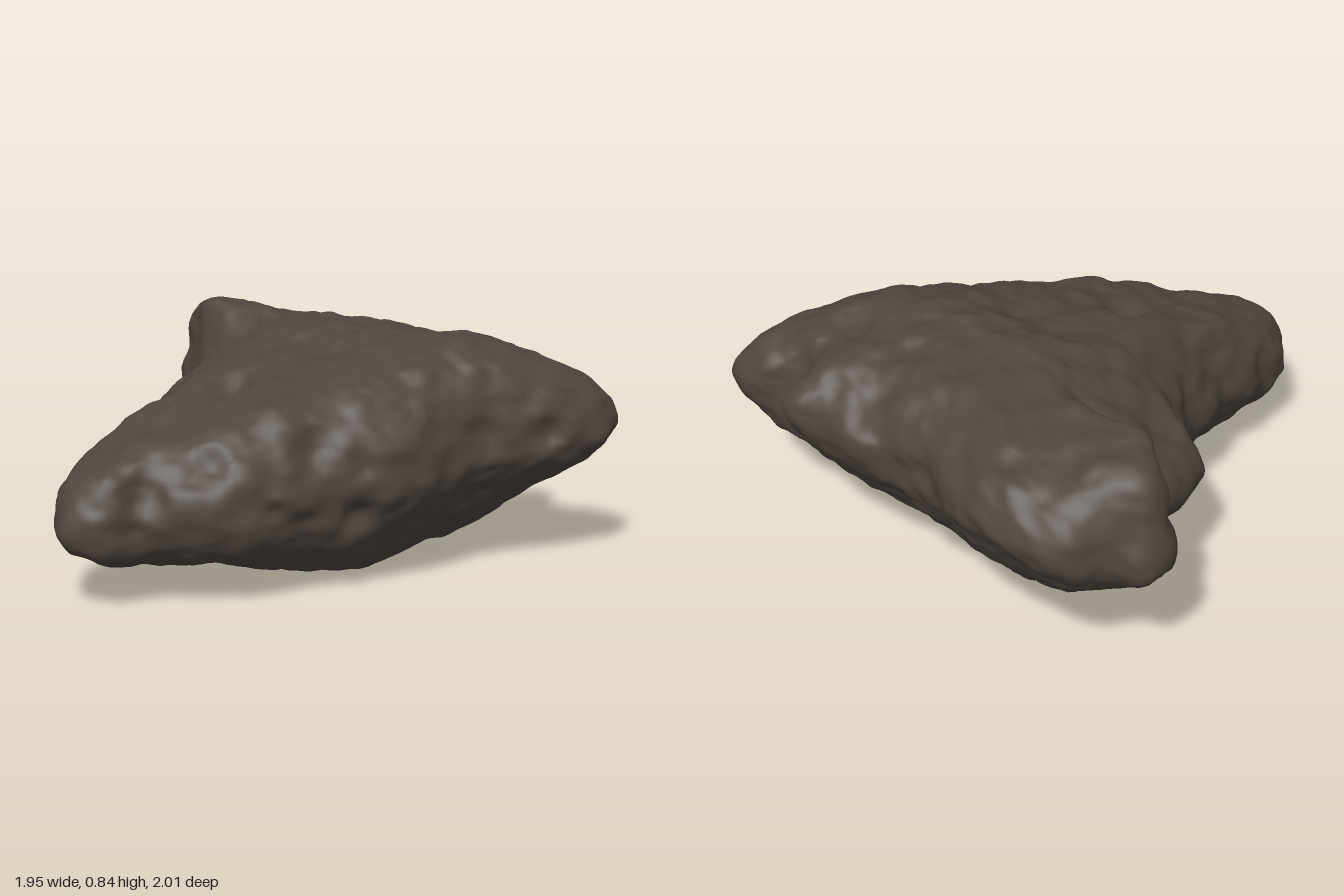
import * as THREE from 'three';
import { mergeVertices } from 'three/addons/utils/BufferGeometryUtils.js';

// Plan outline (x, z), from the nose round by the left wing, back and right wing
const OUTLINE = [
  [-0.07, 0.99], [0.02, 0.95], [0.1, 0.82], [0.22, 0.75], [0.33, 0.64], [0.4, 0.5], [0.47, 0.35], [0.55, 0.2],
  [0.63, 0.08], [0.68, -0.05], [0.68, -0.15], [0.73, -0.28], [0.8, -0.4], [0.9, -0.55], [0.95, -0.68],
  [0.98, -0.78], [0.95, -0.87], [0.85, -0.91], [0.75, -0.9], [0.66, -0.84], [0.59, -0.84], [0.55, -0.9],
  [0.52, -0.98], [0.45, -1], [0.36, -0.95], [0.22, -0.95], [0.08, -0.91], [-0.1, -0.91], [-0.25, -0.95],
  [-0.48, -1], [-0.65, -0.97], [-0.8, -0.91], [-0.88, -0.78], [-0.955, -0.71], [-0.955, -0.6], [-0.85, -0.51],
  [-0.74, -0.4], [-0.69, -0.22], [-0.62, -0.06], [-0.5, 0], [-0.41, 0.1], [-0.37, 0.3], [-0.32, 0.43],
  [-0.33, 0.6], [-0.3, 0.68], [-0.31, 0.81], [-0.24, 0.89], [-0.15, 0.97],
];
// Height profiles as [position, y]
const TOP_Z = [[-1, 0.77], [-0.9, 0.8], [-0.8, 0.81], [-0.6, 0.82], [-0.4, 0.84], [-0.25, 0.81], [-0.1, 0.77],
  [0.1, 0.73], [0.3, 0.68], [0.5, 0.62], [0.6, 0.58], [0.8, 0.53], [0.9, 0.52], [1, 0.5]];
const BOTTOM_Z = [[-1, 0.47], [-0.9, 0.37], [-0.8, 0.27], [-0.7, 0.19], [-0.5, 0.08], [-0.3, 0.02], [-0.1, 0],
  [0.1, 0.01], [0.3, 0.06], [0.5, 0.11], [0.7, 0.13], [1, 0.13]];
const BOTTOM_X = [[-1, 0.4], [-0.85, 0.35], [-0.7, 0.3], [-0.5, 0.22], [-0.3, 0.17], [-0.15, 0.08], [0, 0.02],
  [0.2, 0], [0.4, 0.01], [0.55, 0.12], [0.7, 0.25], [0.9, 0.33], [1, 0.38]];
const RIM_Z = [[-1, 0.6], [-0.5, 0.51], [0, 0.42], [0.5, 0.35], [1, 0.28]];

// Craters as [x, y, z, radius, depth]
const CRATERS = [
  [0.23, 0.83, -0.65, 0.08, 0.024], [0.52, 0.78, -0.63, 0.11, 0.045], [0, 0.7, 0.23, 0.11, 0.045],
  [-0.48, 0.8, -0.87, 0.08, 0.024], [0.1, 0.84, -0.34, 0.09, 0.028], [-0.15, 0.65, 0.45, 0.08, 0.025],
  [0.42, 0.34, 0.48, 0.05, 0.03], [0.55, 0.3, 0.18, 0.09, 0.035], [0.45, 0.52, 0.3, 0.11, 0.035],
  [0.72, 0.5, -0.3, 0.1, 0.025], [0.88, 0.5, -0.5, 0.08, 0.03], [0.12, 0.4, 0.82, 0.09, 0.03],
  [0.25, 0.5, 0.65, 0.1, 0.035], [-0.5, 0.62, -0.2, 0.13, 0.03], [-0.1, 0.6, -0.92, 0.09, 0.02],
  [0.25, 0.03, 0.1, 0.1, 0.02], [-0.3, 0.2, -0.3, 0.12, 0.02], [0.1, 0.2, -0.65, 0.1, 0.02],
];

function profile(table, t) {
  if (t <= table[0][0]) return table[0][1];
  for (let i = 1; i < table.length; i++) {
    const [a, ya] = table[i - 1], [b, yb] = table[i];
    if (t <= b) return ya + (yb - ya) * (t - a) / (b - a);
  }
  return table[table.length - 1][1];
}

function hash(x, y, z) {
  let h = Math.imul(x, 374761393) ^ Math.imul(y, 668265263) ^ Math.imul(z, 2147483647 - 1274126177);
  h = Math.imul(h ^ (h >>> 13), 1274126177);
  return ((h ^ (h >>> 16)) >>> 0) / 2147483648 - 1;
}

// Smooth value noise in -1..1
function noise(x, y, z) {
  const ix = Math.floor(x), iy = Math.floor(y), iz = Math.floor(z);
  const ease = (t) => t * t * (3 - 2 * t);
  const u = ease(x - ix), v = ease(y - iy), w = ease(z - iz);
  let sum = 0;
  for (let c = 0; c < 8; c++) {
    const a = c & 1, b = (c >> 1) & 1, d = c >> 2;
    sum += hash(ix + a, iy + b, iz + d) * (a ? u : 1 - u) * (b ? v : 1 - v) * (d ? w : 1 - w);
  }
  return sum;
}

const { smoothstep, lerp } = THREE.MathUtils;

const smoothMax = (a, b, k) => {
  const h = Math.max(k - Math.abs(a - b), 0) / k;
  return Math.max(a, b) + h * h * k * 0.25;
};

// Upper surface: a shelf before the right wing, a dip at the back and a saddle to the left wing
function topHeight(x, z) {
  const shelf = smoothstep(-x, 0.15, 0.65) * smoothstep(z, -0.52, -0.4);
  const dip = smoothstep(-z, 0.65, 0.95) * smoothstep(x, -0.45, -0.1) * (1 - smoothstep(x, 0.2, 0.42));
  const saddle = smoothstep(x, 0.5, 0.66) * smoothstep(-z, 0.55, 0.85);
  return profile(TOP_Z, z) - 0.15 * shelf - 0.09 * dip - 0.05 * saddle
    - 0.05 * smoothstep(x, 0.5, 0.95) + 0.02 * smoothstep(-x, 0.5, 0.8);
}

const bottomHeight = (x, z) => smoothMax(profile(BOTTOM_Z, z), profile(BOTTOM_X, x), 0.08);

// Smooth body: rings from the top centre out to the outline and back under
function bodyGeometry(segments, rings) {
  const cx = 0.1, cz = -0.3;
  const curve = new THREE.CatmullRomCurve3(OUTLINE.map(([x, z]) => new THREE.Vector3(x, 0, z)), true);
  const rim = curve.getSpacedPoints(segments).slice(0, segments);
  // Softened outline for the inner rings, so lobes and notches stay near the edge
  const soft = rim.map((_, j) => {
    const sum = new THREE.Vector3();
    for (let k = -6; k <= 6; k++) sum.add(rim[(j + k + segments) % segments]);
    return sum.divideScalar(13);
  });
  const positions = [], index = [];
  for (let i = 0; i <= rings; i++) {
    const s = Math.sin(Math.PI * i / rings), upper = i <= rings / 2;
    for (let j = 0; j < segments; j++) {
      const r = rim[j], blend = s ** 4;
      const x = cx + (lerp(soft[j].x, r.x, blend) - cx) * s;
      const z = cz + (lerp(soft[j].z, r.z, blend) - cz) * s;
      const edge = profile(RIM_Z, r.z) - 0.06 * r.x * r.x;
      // The nose and right wing tip are blunt; the back, flanks and left wing slope more
      const nose = smoothstep(r.z, 0.4, 0.85);
      const tip = smoothstep(-r.x, 0.75, 0.9) * smoothstep(-r.z, 0.4, 0.5) * smoothstep(r.z, -0.9, -0.7);
      const power = upper ? 6 + 6 * nose + 12 * tip : 6.5 + 2 * nose + 4 * tip;
      const swell = i === rings / 2 ? 0 : Math.sqrt(Math.max(0, 1 - s ** power));
      const goal = upper ? Math.max(topHeight(x, z), edge + 0.03) : Math.min(bottomHeight(x, z), edge - 0.03);
      positions.push(x, edge + (goal - edge) * swell, z);
    }
  }
  for (let i = 0; i < rings; i++) {
    for (let j = 0; j < segments; j++) {
      const k = (j + 1) % segments;
      const a = i * segments + j, b = a + segments, c = (i + 1) * segments + k, d = i * segments + k;
      if (i < rings - 1) index.push(a, b, c);
      if (i > 0) index.push(a, c, d);
    }
  }
  const geometry = new THREE.BufferGeometry();
  geometry.setAttribute('position', new THREE.Float32BufferAttribute(positions, 3));
  geometry.setIndex(index);
  return mergeVertices(geometry, 1e-5);
}

// Lumps and craters pushed along the surface normal
function weather(geometry) {
  geometry.computeVertexNormals();
  const pos = geometry.attributes.position, nor = geometry.attributes.normal;
  const p = new THREE.Vector3(), n = new THREE.Vector3();
  for (let i = 0; i < pos.count; i++) {
    p.fromBufferAttribute(pos, i);
    n.fromBufferAttribute(nor, i);
    let push = 0.012 * noise(p.x * 6 + 9, p.y * 6 + 9, p.z * 6 + 9)
      + 0.014 * noise(p.x * 11 + 40, p.y * 11, p.z * 11)
      + 0.006 * noise(p.x * 24, p.y * 24 + 70, p.z * 24);
    for (const [x, y, z, radius, depth] of CRATERS) {
      const d = Math.hypot(p.x - x, p.y - y, p.z - z) / radius;
      push -= depth * Math.max(0, 1 - d * d) ** 1.5;
    }
    p.addScaledVector(n, push);
    pos.setXYZ(i, p.x, p.y, p.z);
  }
  geometry.computeVertexNormals();
}

export function createModel() {
  const group = new THREE.Group();
  group.name = 'asteroid';
  const stone = new THREE.MeshStandardMaterial({ color: 0x50463f });
  stone.name = 'dark brown stone';
  const geometry = bodyGeometry(240, 110);
  weather(geometry);
  // Stand the rock on y = 0
  geometry.computeBoundingBox();
  geometry.translate(0, -geometry.boundingBox.min.y, 0);
  const rock = new THREE.Mesh(geometry, stone);
  rock.name = 'rockBody';
  group.add(rock);
  return group;
}
